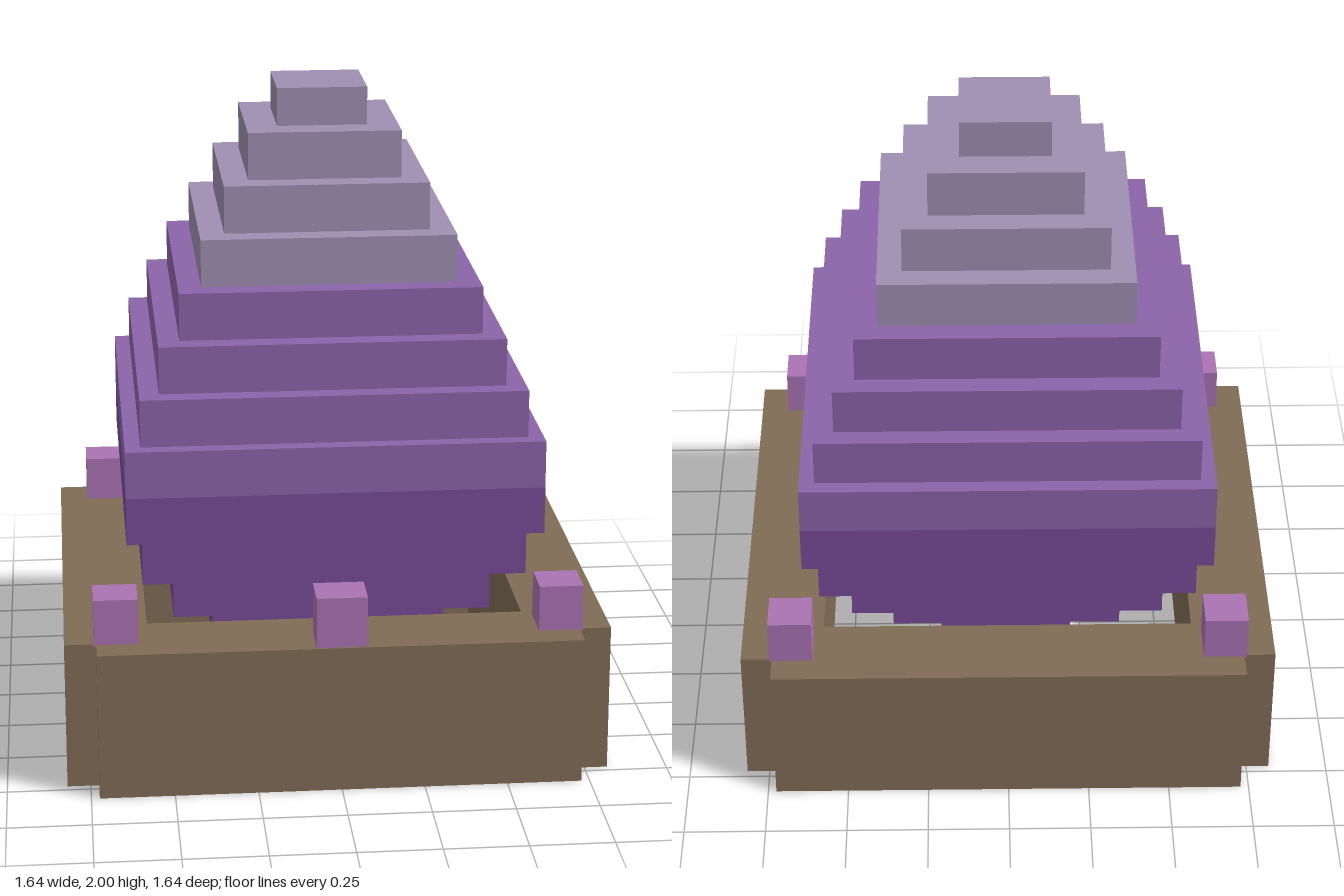
import * as THREE from 'three';

const paint = (color) => new THREE.MeshStandardMaterial({ color, flatShading: true });

function addBox(parent, name, material, size, position) {
  const mesh = new THREE.Mesh(new THREE.BoxGeometry(...size), material);
  mesh.name = name;
  mesh.position.set(...position);
  parent.add(mesh);
  return mesh;
}

export function createModel() {
  const model = new THREE.Group();
  model.name = 'steppedEggOnBase';
  const wood = paint(0x806c55);
  const dark = paint(0x784b99);
  const mid = paint(0x8c64aa);
  const pale = paint(0x9f8fb2);
  const pink = paint(0xaa73b3);

  // Open square base of four thick walls with notched outer corners
  const base = new THREE.Group();
  base.name = 'base';
  const inner = 0.57, outer = 0.82, wallHeight = 0.455;
  const thick = outer - inner, middle = (outer + inner) / 2;
  for (const s of [1, -1]) {
    addBox(base, s > 0 ? 'frontWall' : 'backWall', wood,
      [1.45, wallHeight, thick], [0, wallHeight / 2, s * middle]);
    addBox(base, s > 0 ? 'leftWall' : 'rightWall', wood,
      [thick, wallHeight, 1.45], [s * middle, wallHeight / 2, 0]);
  }
  model.add(base);

  // Egg of stacked square tiers, listed as half widths from the bottom up
  const egg = new THREE.Group();
  egg.name = 'egg';
  const halfWidths = [0.21, 0.36, 0.485, 0.58, 0.627, 0.627, 0.58, 0.52, 0.455, 0.385, 0.31, 0.232, 0.137];
  const step = 0.1445, bottom = 0.15;
  halfWidths.forEach((half, i) => {
    const low = bottom + i * step;
    const high = Math.min(2, low + step);
    const material = i < 5 ? dark : i < 9 ? mid : pale;
    addBox(egg, `eggTier${i + 1}`, material,
      [2 * half, high - low, 2 * half], [0, (low + high) / 2, 0]);
  });
  model.add(egg);

  // Small blocks on the corners, and one in the middle of the front
  const studs = new THREE.Group();
  studs.name = 'studs';
  for (const x of [1, -1]) {
    for (const z of [1, -1]) {
      addBox(studs, 'cornerStud', pink, [0.132, 0.145, 0.132], [x * 0.666, 0.5225, z * 0.666]);
    }
  }
  addBox(studs, 'frontStud', pink, [0.152, 0.16, 0.132], [0, 0.53, 0.746]);
  model.add(studs);

  return model;
}
